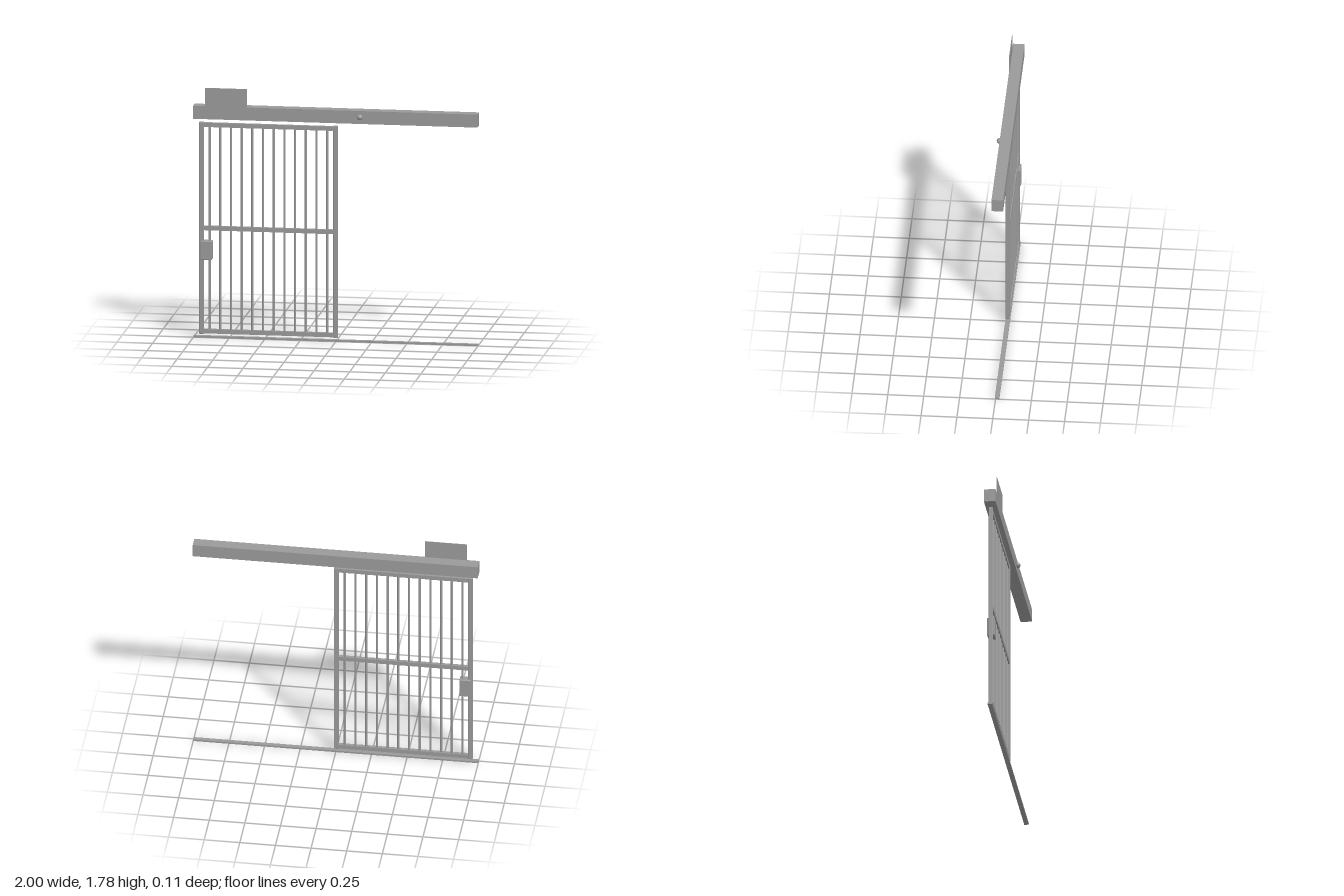
import * as THREE from 'three';
import { RoundedBoxGeometry } from 'three/addons/geometries/RoundedBoxGeometry.js';

export function createModel() {
  const model = new THREE.Group();
  model.name = 'slidingBarredGate';
  const steel = new THREE.MeshStandardMaterial({ color: 0x999999 });
  steel.name = 'grey steel';
  const midZ = -0.011; // plane of the gate

  const add = (name, geometry, x, y, z, parent = model) => {
    const mesh = new THREE.Mesh(geometry, steel);
    mesh.name = name;
    mesh.position.set(x, y, z);
    parent.add(mesh);
    return mesh;
  };
  // Box given by its limits in x and y, its depth and centre in z
  const block = (name, x0, x1, y0, y1, depth, z, parent, radius = 0) => {
    const size = [x1 - x0, y1 - y0, depth];
    const geometry = radius
      ? new RoundedBoxGeometry(...size, 2, radius)
      : new THREE.BoxGeometry(...size);
    return add(name, geometry, (x0 + x1) / 2, (y0 + y1) / 2, z, parent);
  };

  // Floor track and overhead housing
  block('floorTrack', -1, 1, 0, 0.012, 0.032, midZ);
  block('overheadHousing', -1, 1, 1.556, 1.648, 0.081, -0.0125);

  // Upright plate at the front edge of the housing
  block('signPlate', -0.914, -0.62, 1.64, 1.778, 0.004, 0.0262);

  // Round knob on the housing front
  add('knob', new THREE.SphereGeometry(0.02, 24, 16), 0.174, 1.604, 0.033);

  // Sliding gate: posts, rails and bars
  const gate = new THREE.Group();
  gate.name = 'gate';
  model.add(gate);
  for (const x of [-0.944, -0.002]) {
    block('gatePost', x - 0.016, x + 0.016, 0.025, 1.53, 0.027, midZ, gate, 0.004);
  }
  for (const y of [0.045, 0.777, 1.51]) {
    block('gateRail', -0.935, -0.01, y - 0.015, y + 0.015, 0.025, midZ, gate);
  }
  const bar = new THREE.CylinderGeometry(0.008, 0.008, 1.46, 12);
  for (let i = 0; i < 12; i++) {
    add('gateBar', bar, -0.888 + i * 0.0751, 0.777, midZ, gate);
  }

  // Lock case around the leading post
  block('lockCase', -0.949, -0.869, 0.553, 0.688, 0.053, midZ, gate, 0.005);

  return model;
}
